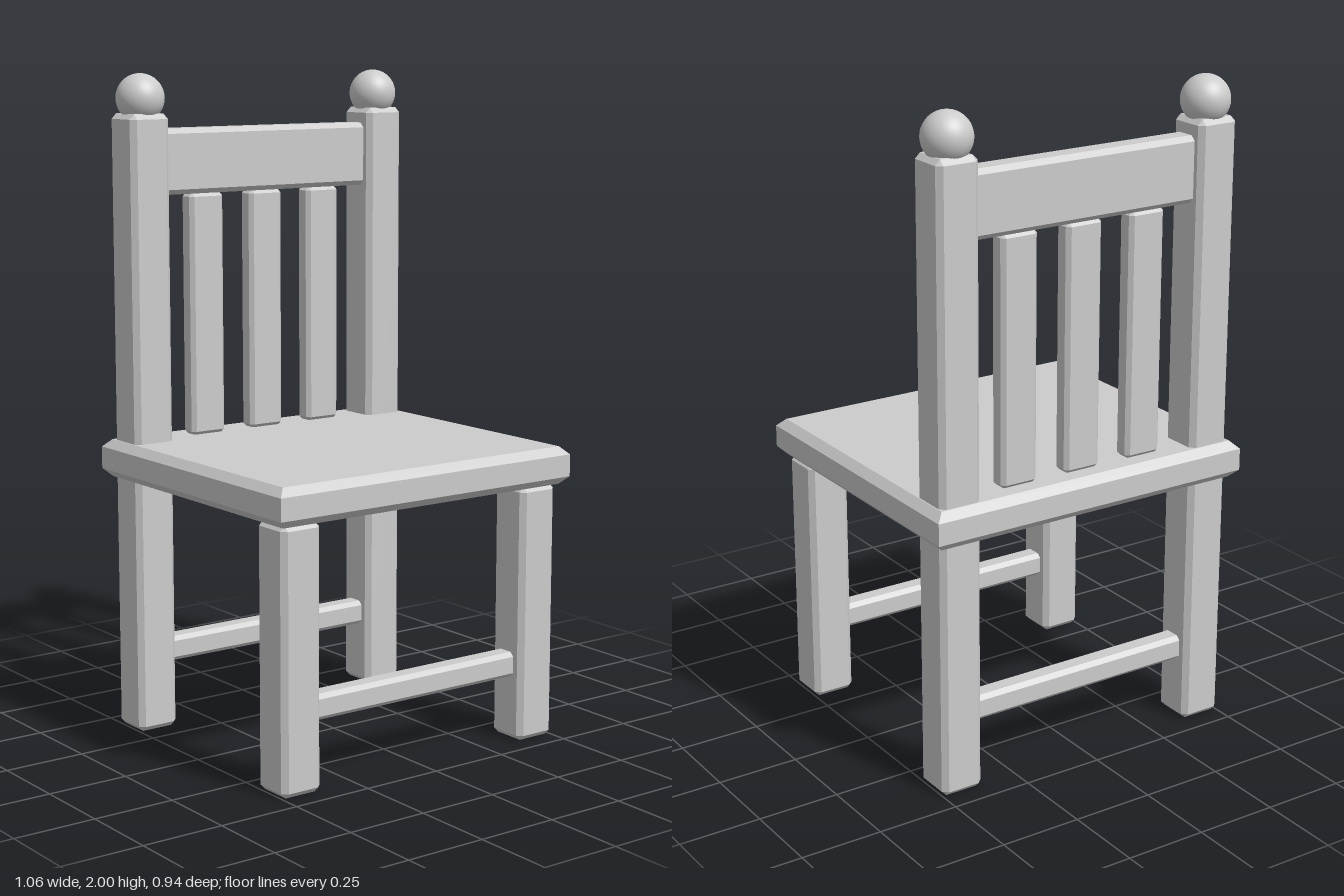
import * as THREE from 'three';
import { ConvexGeometry } from 'three/addons/geometries/ConvexGeometry.js';

const SIGNS = [-1, 1];

// Box with every edge chamfered by c, or only its top and bottom rims if rimOnly
function chamferedBox(w, h, d, c, rimOnly = false) {
  const points = [];
  for (const sx of SIGNS) for (const sy of SIGNS) for (const sz of SIGNS) {
    const add = (ix, iy, iz) => points.push(
      new THREE.Vector3(sx * (w / 2 - ix), sy * (h / 2 - iy), sz * (d / 2 - iz)));
    add(c, 0, c);
    if (rimOnly) {
      add(0, c, 0);
    } else {
      add(0, c, c);
      add(c, c, 0);
    }
  }
  return new ConvexGeometry(points);
}

export function createModel() {
  const chair = new THREE.Group();
  chair.name = 'chair';
  const grey = new THREE.MeshStandardMaterial({ color: 0xcccccc });
  grey.name = 'grey';

  function part(name, geometry, x, y, z) {
    const mesh = new THREE.Mesh(geometry, grey);
    mesh.name = name;
    mesh.position.set(x, y, z);
    chair.add(mesh);
  }

  const legX = 0.436, legZ = 0.378, legW = 0.133;

  // Seat slab
  part('seat', chamferedBox(1.06, 0.115, 0.945, 0.024, true), 0, 0.84, 0);

  // Front legs, tall back posts and their ball finials
  const frontLeg = chamferedBox(legW, 0.785, legW, 0.016);
  const backPost = chamferedBox(legW, 1.882, legW, 0.016);
  const ball = new THREE.SphereGeometry(0.073, 32, 20);
  for (const s of SIGNS) {
    const side = s > 0 ? 'left' : 'right';
    part(side + 'FrontLeg', frontLeg, s * legX, 0.3925, legZ);
    part(side + 'BackPost', backPost, s * legX, 0.941, -legZ);
    part(side + 'Finial', ball, s * legX * 0.995, 1.927, -legZ);
  }

  // Stretchers between the front legs and between the back posts
  const stretcher = chamferedBox(0.76, 0.077, 0.07, 0.013);
  part('frontStretcher', stretcher, 0, 0.235, legZ);
  part('backStretcher', stretcher, 0, 0.235, -legZ);

  // Backrest: top rail and three slats
  part('topRail', chamferedBox(0.76, 0.197, 0.083, 0.015), 0, 1.737, -legZ);
  const slat = chamferedBox(0.12, 0.745, 0.06, 0.012);
  for (const i of [-1, 0, 1]) part('backSlat', slat, i * 0.217, 1.268, -legZ);

  return chair;
}
